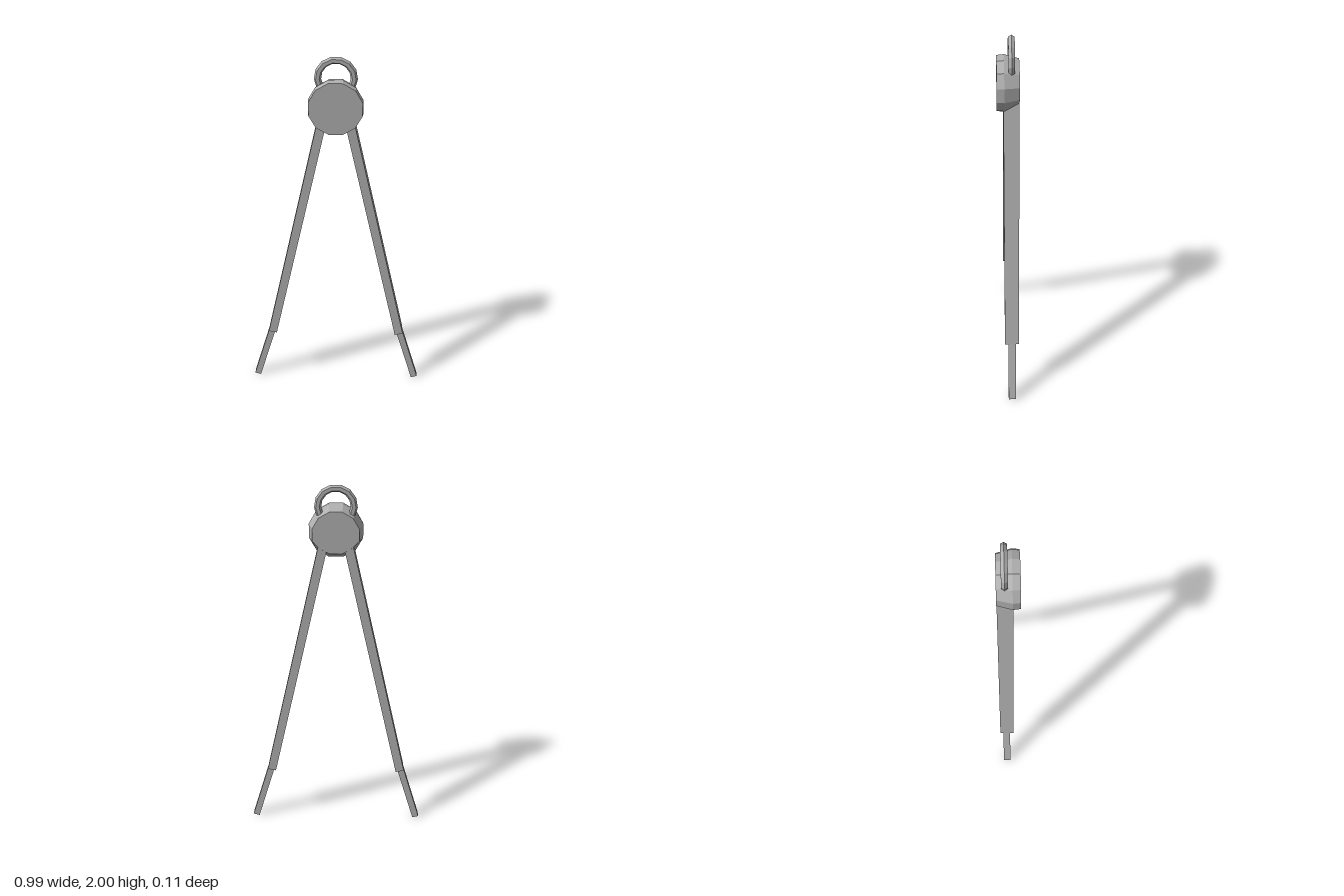
import * as THREE from 'three';

export function createModel() {
  const model = new THREE.Group();
  const metal = new THREE.MeshStandardMaterial({ color: 0xb0b0b0, flatShading: true });
  metal.name = 'grey metal';

  const add = (name, geometry, parent = model) => {
    const mesh = new THREE.Mesh(geometry, metal);
    mesh.name = name;
    parent.add(mesh);
    return mesh;
  };

  // Bar of rectangular section between two points in the xy plane
  const bar = (name, x0, y0, x1, y1, width, zBack, zFront, parent) => {
    const dx = x1 - x0, dy = y1 - y0;
    const mesh = add(name, new THREE.BoxGeometry(width, Math.hypot(dx, dy), zFront - zBack), parent);
    mesh.position.set((x0 + x1) / 2, (y0 + y1) / 2, (zBack + zFront) / 2);
    mesh.rotation.z = -Math.atan2(dx, dy);
  };

  // Hinge hub: faceted disc, widest near the middle, cut upward at the back underside
  const hubProfile = [[0, -0.057], [0.122, -0.057], [0.143, 0.018], [0.139, 0.055], [0, 0.055]]
    .map(([r, z]) => new THREE.Vector2(r, z));
  const hubGeometry = new THREE.LatheGeometry(hubProfile, 12, Math.PI / 12);
  hubGeometry.rotateX(Math.PI / 2);
  const p = hubGeometry.attributes.position;
  for (let i = 0; i < p.count; i++) {
    if (p.getZ(i) < -0.05 && p.getY(i) < -0.08) p.setY(i, p.getY(i) + 0.02);
  }
  hubGeometry.computeVertexNormals();
  add('hingeHub', hubGeometry).position.y = 1.755;

  // Hanging loop: open faceted ring sunk into the top of the hub
  const overhang = Math.PI / 6;
  const loop = add('hangingLoop', new THREE.TorusGeometry(0.091, 0.018, 6, 9, Math.PI + 2 * overhang));
  loop.geometry.rotateZ(-overhang);
  loop.position.set(0, 1.892, -0.018);

  // Two mirrored legs, each with a thin point at the foot
  for (const [side, s] of [['left', 1], ['right', -1]]) {
    const leg = new THREE.Group();
    leg.name = side + 'Leg';
    model.add(leg);
    bar(side + 'Arm', s * 0.059, 1.72, s * 0.37, 0.343, 0.047, -0.056, 0.022, leg);
    bar(side + 'Point', s * 0.37, 0.36, s * 0.476, 0.005, 0.036, -0.038, 0.003, leg);
  }
  return model;
}
